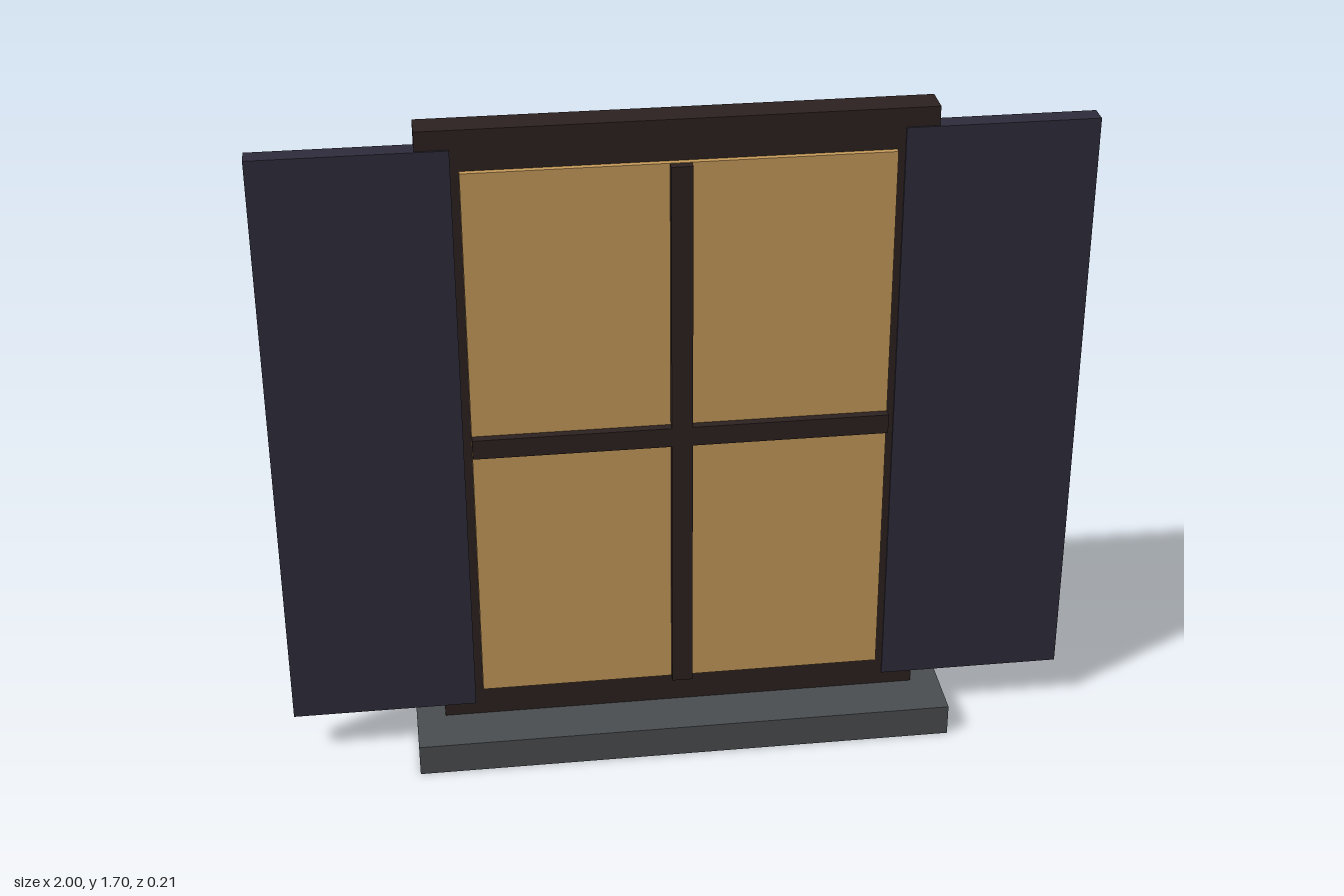
import * as THREE from 'three';

const mat = (name, color) => {
  const m = new THREE.MeshStandardMaterial({ color });
  m.name = name;
  return m;
};

export function createModel() {
  const darkWood = mat('darkWood', 0x2c2220);
  const litGlass = mat('litGlass', 0xc89c5b);
  const shutterPaint = mat('shutterPaint', 0x2e2c3b);
  const stone = mat('stone', 0x4b4e51);

  const group = new THREE.Group();
  group.name = 'shutteredWindow';

  // Box given by its extents along x, y and z
  const box = (name, material, [x0, x1], [y0, y1], [z0, z1]) => {
    const mesh = new THREE.Mesh(new THREE.BoxGeometry(x1 - x0, y1 - y0, z1 - z0), material);
    mesh.position.set((x0 + x1) / 2, (y0 + y1) / 2, (z0 + z1) / 2);
    mesh.name = name;
    group.add(mesh);
  };

  // Solid backing frame and projecting sill
  box('frame', darkWood, [-0.613, 0.613], [0.065, 1.702], [-0.105, -0.027]);
  box('sill', stone, [-0.687, 0.687], [0, 0.083], [-0.097, 0.105]);

  // Glowing pane with crossed glazing bars
  box('pane', litGlass, [-0.513, 0.513], [0.167, 1.6], [-0.032, -0.012]);
  box('verticalBar', darkWood, [-0.026, 0.026], [0.167, 1.6], [-0.009, 0.013]);
  box('horizontalBar', darkWood, [-0.513, 0.513], [0.861, 0.912], [-0.009, 0.013]);

  // Open shutters on both sides
  box('leftShutter', shutterPaint, [0.533, 1], [0.118, 1.654], [-0.073, -0.022]);
  box('rightShutter', shutterPaint, [-1, -0.533], [0.118, 1.654], [-0.073, -0.022]);

  return group;
}
